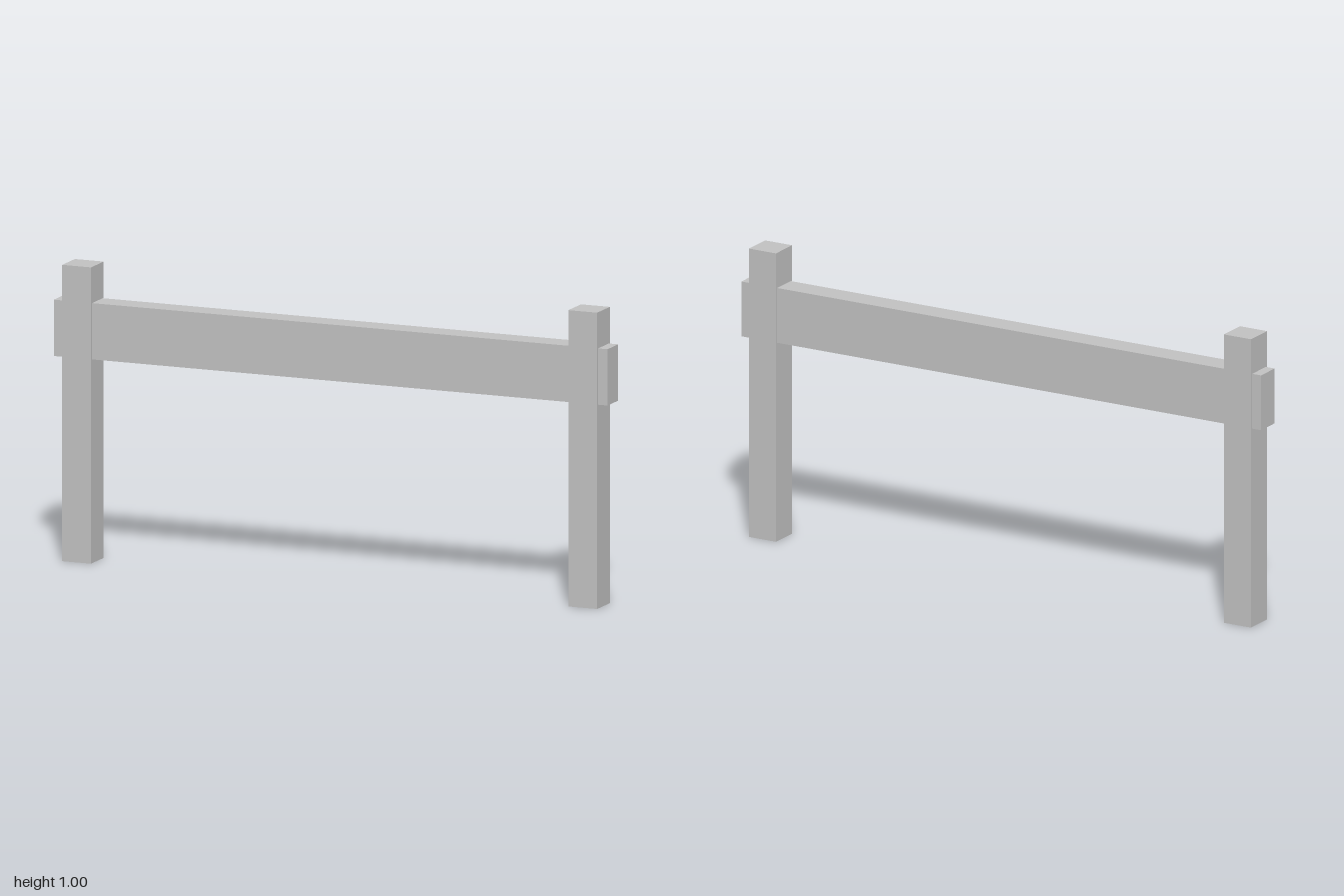
import * as THREE from 'three';

export function createModel() {
  const group = new THREE.Group();
  group.name = 'railBarrier';
  const grey = new THREE.MeshStandardMaterial({ color: 0xc0c0c0 });
  grey.name = 'grey';

  const addBox = (name, width, height, depth, x, y) => {
    const mesh = new THREE.Mesh(new THREE.BoxGeometry(width, height, depth), grey);
    mesh.name = name;
    mesh.position.set(x, y, 0);
    group.add(mesh);
  };

  // Two square posts
  for (const side of [-1, 1]) {
    addBox(side > 0 ? 'leftPost' : 'rightPost', 0.104, 1, 0.104, side * 0.914, 0.5);
  }

  // Rail running through both posts, with its ends sticking out
  addBox('rail', 2, 0.19, 0.088, 0, 0.783);

  return group;
}
